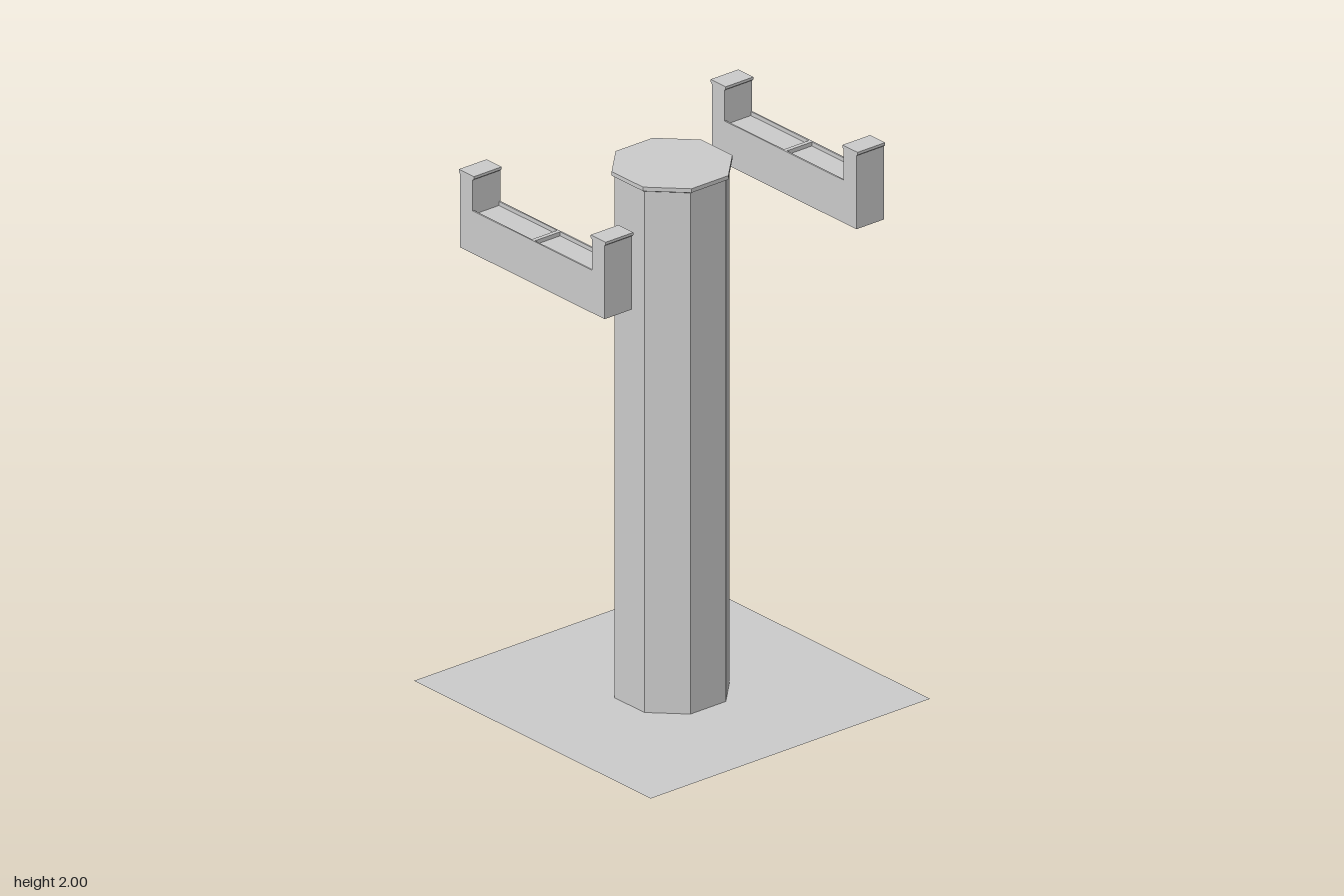
import * as THREE from 'three';

export function createModel() {
  const model = new THREE.Group();
  const grey = new THREE.MeshStandardMaterial({ color: 0xcccccc, flatShading: true, side: THREE.DoubleSide });
  grey.name = 'plainGrey';

  function add(parent, name, geometry, x = 0, y = 0, z = 0) {
    const mesh = new THREE.Mesh(geometry, grey);
    mesh.name = name;
    mesh.position.set(x, y, z);
    parent.add(mesh);
    return mesh;
  }

  // Flat square ground sheet
  add(model, 'groundSheet', new THREE.PlaneGeometry(1.244, 1.244).rotateX(-Math.PI / 2));

  // Octagonal column with a thin flared cap; profile widths are across the flats
  const profile = [[0.19, 0], [0.19, 1.952], [0.199, 1.957], [0.199, 1.972], [0, 1.972]]
    .map(([r, y]) => new THREE.Vector2(r / Math.cos(Math.PI / 8), y));
  add(model, 'column', new THREE.LatheGeometry(profile, 8, Math.PI / 8));

  // U-shaped cradle outline: right half, mirrored for the left
  const depth = 0.123, floorY = 1.855, rimY = 1.87;
  const half = [
    [0.38, 1.71], [0.38, 1.985], [0.386, 1.99], [0.386, 2],
    [0.307, 2], [0.307, 1.99], [0.313, 1.985], [0.313, floorY],
  ];
  const outline = [...half, ...half.map(([x, y]) => [-x, y]).reverse()]
    .map(([x, y]) => new THREE.Vector2(x, y));
  const cradleGeometry = new THREE.ExtrudeGeometry(new THREE.Shape(outline), { depth, bevelEnabled: false })
    .translate(0, 0, -depth / 2);

  // Two floating cradles, each with two shallow trays in its beam
  for (const side of [1, -1]) {
    const cradle = new THREE.Group();
    cradle.name = side > 0 ? 'frontCradle' : 'backCradle';
    cradle.position.z = side * 0.5605;
    add(cradle, 'cradleBody', cradleGeometry);
    const h = rimY - floorY, y = floorY + h / 2;
    for (const s of [1, -1]) {
      add(cradle, 'trayRim', new THREE.BoxGeometry(0.626, h, 0.006), 0, y, s * (depth / 2 - 0.003));
    }
    add(cradle, 'trayDivider', new THREE.BoxGeometry(0.016, h, depth - 0.012), 0, y, 0);
    model.add(cradle);
  }

  return model;
}
